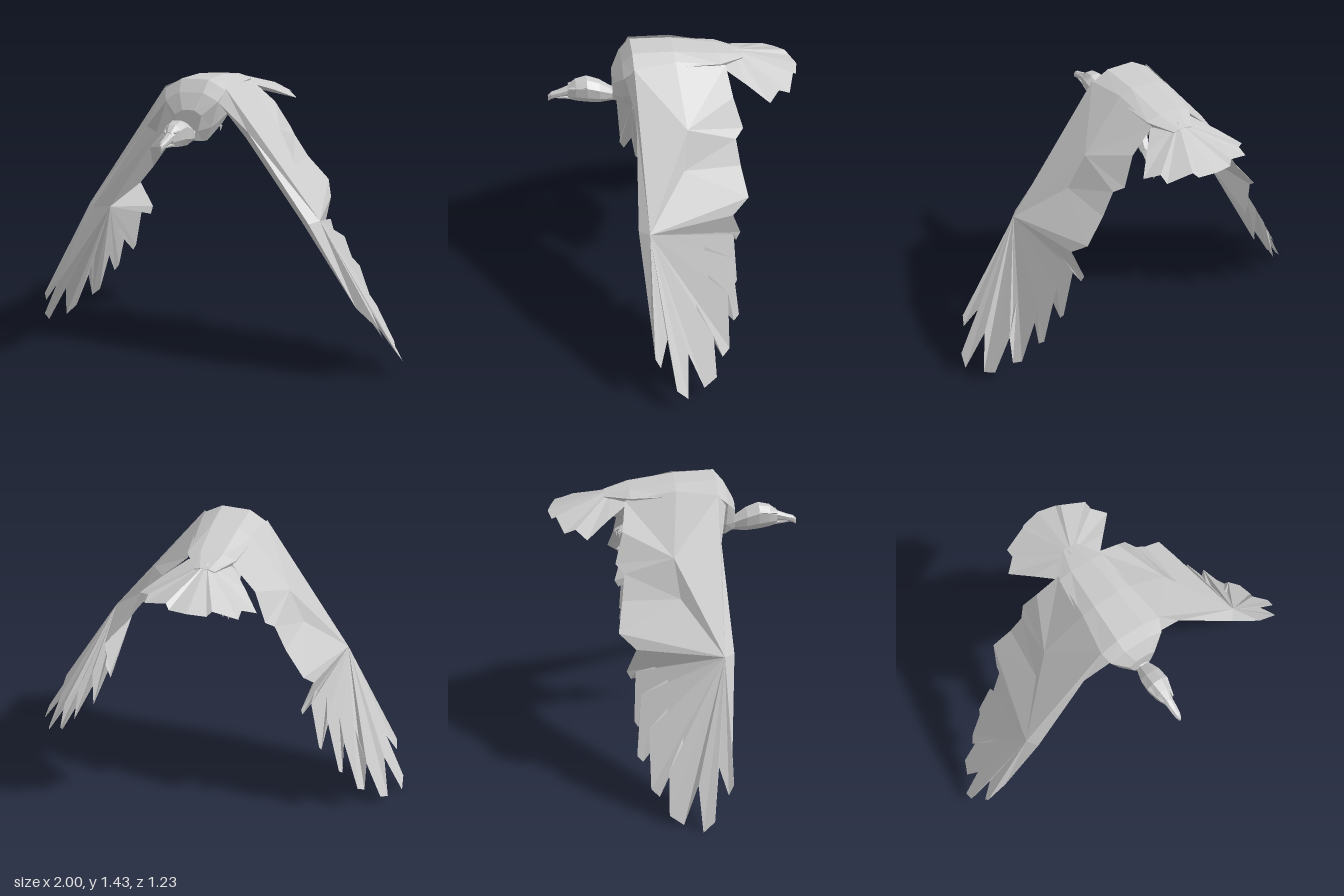
import * as THREE from 'three';

const V = (p) => new THREE.Vector3(...p);
const solid = new THREE.MeshStandardMaterial({ color: 0xcccccc, flatShading: true });
const thin = new THREE.MeshStandardMaterial({ color: 0xcccccc, flatShading: true, side: THREE.DoubleSide });

// Faceted mesh from a list of triangles; side = -1 mirrors it across x
function facets(name, tris, side = 1, material = thin) {
  const pos = [];
  for (const t of tris) {
    for (const p of side < 0 ? [t[0], t[2], t[1]] : t) pos.push(p[0] * side, p[1], p[2]);
  }
  const g = new THREE.BufferGeometry();
  g.setAttribute('position', new THREE.Float32BufferAttribute(pos, 3));
  g.computeVertexNormals();
  const m = new THREE.Mesh(g, material);
  m.name = name;
  return m;
}

// Triangles from a hub to every edge of an open outline
const fan = (hub, line) => line.slice(1).map((p, i) => [hub, line[i], p]);
const flip = (tris) => tris.map(([a, b, c]) => [a, c, b]);

// Closed loft along z; each section is [z, half width, top, bottom]
const mirrored = (half) => [...half, ...half.map(([x, y]) => [-x, y]).reverse()];
const ROUND = mirrored([[0.4, 0], [0.9, 0.3], [1, 0.75], [0.42, 1]]);
const WEDGE = mirrored([[0.34, 0], [0.7, 0.3], [1, 0.83], [0.45, 1]]);
function loft(name, sections, profile = ROUND) {
  const rings = sections.map(([z, w, top, bot]) => profile.map(([x, y]) => [x * w, bot + y * (top - bot), z]));
  const tris = [];
  const n = profile.length;
  for (let i = 0; i < rings.length - 1; i++) {
    for (let j = 0; j < n; j++) {
      const k = (j + 1) % n, a = rings[i], b = rings[i + 1];
      tris.push([a[j], a[k], b[k]], [a[j], b[k], b[j]]);
    }
  }
  const first = rings[0], last = rings[rings.length - 1];
  for (let j = 1; j < n - 1; j++) {
    tris.push([first[0], first[j + 1], first[j]], [last[0], last[j], last[j + 1]]);
  }
  return facets(name, tris, 1, solid);
}

// Tapered rod between two points
function rod(name, a, b, ra, rb, sides = 5) {
  const d = V(b).sub(V(a));
  const m = new THREE.Mesh(new THREE.CylinderGeometry(rb, ra, d.length(), sides), solid);
  m.position.copy(V(a)).addScaledVector(d, 0.5);
  m.quaternion.setFromUnitVectors(new THREE.Vector3(0, 1, 0), d.normalize());
  m.name = name;
  return m;
}

function wing(side) {
  const g = new THREE.Group();
  g.name = side > 0 ? 'leftWing' : 'rightWing';
  // shared elbow rib
  const elbow = [0.625, 0.767, 0.185], lead = [0.585, 0.76, 0.235];
  const under = [0.525, 0.745, 0.16], notch = [0.54, 0.78, -0.225];

  // inner wing: leading edge, ridge, trailing edge and the feather fold
  const rootLead = [0.14, 1.33, 0.24], midLead = [0.27, 1.19, 0.205], midUnder = [0.24, 1.15, 0.16];
  const shoulder = [0.16, 1.395, 0.2], back = [0.13, 1.408, 0];
  const trail = [[0.11, 1.36, -0.245], [0.23, 1.25, -0.265], [0.297, 1.115, -0.305],
    [0.335, 1.08, -0.265], [0.4, 0.97, -0.28], [0.5, 0.85, -0.305]];
  const foldTop = [0.345, 1.158, -0.03], foldLow = [0.425, 0.98, -0.005];
  const hollow = [0.345, 1.04, 0.03];
  g.add(facets('innerWing', [
    [rootLead, midLead, shoulder], [midLead, elbow, shoulder], [midLead, lead, elbow],
    [shoulder, elbow, foldTop], [shoulder, foldTop, back], [back, foldTop, trail[0]],
    ...fan(foldTop, trail.slice(0, 4)), [foldTop, foldLow, trail[3]], [foldTop, elbow, foldLow],
    ...fan(foldLow, trail.slice(3)), [foldLow, elbow, trail[5]], [trail[5], elbow, notch],
    [rootLead, midUnder, midLead], [midLead, midUnder, lead], [lead, midUnder, under],
    ...fan(hollow, [midUnder, rootLead, ...trail, notch, under, midUnder]),
  ], side));

  // outer wing: finger feathers with blunt tips (two corners each) and the gap after each
  const fingers = [
    [[0.925, 0.25, 0.2], [0.935, 0.2, 0.175], [0.865, 0.315, 0.135]],
    [[0.992, 0.095, 0.105], [1.0, 0.043, 0.05], [0.89, 0.235, 0.037]],
    [[0.94, 0.05, -0.035], [0.91, 0.085, -0.1], [0.82, 0.27, -0.095]],
    [[0.83, 0.14, -0.14], [0.8, 0.165, -0.178], [0.705, 0.44, -0.18]],
    [[0.72, 0.27, -0.21], [0.705, 0.295, -0.237], [0.615, 0.58, -0.21]],
    [[0.605, 0.395, -0.225], [0.595, 0.42, -0.242], [0.535, 0.66, -0.23]],
    [[0.5, 0.6, -0.25], [0.495, 0.64, -0.27], notch],
  ];
  const outline = [lead, [0.81, 0.35, 0.205], ...fingers.flat()];
  g.add(facets('outerWing', [...fan(elbow, outline), ...flip(fan(under, outline))], side));
  return g;
}

function leg(side) {
  const g = new THREE.Group();
  g.name = side > 0 ? 'leftLeg' : 'rightLeg';
  const s = ([x, y, z]) => [x * side, y, z];
  const ankle = [0.105, 1.135, -0.235];
  g.add(rod('thigh', s([0.075, 1.26, -0.08]), s([0.1, 1.185, -0.18]), 0.045, 0.024, 6));
  g.add(rod('shank', s([0.1, 1.195, -0.17]), s(ankle), 0.022, 0.012));
  // three front toes and one hind toe, each ending in a curved claw
  for (const [dx, dz] of [[-0.03, -0.03], [0.005, -0.045], [0.035, -0.025], [0, 0.03]]) {
    const knuckle = [ankle[0] + dx, 1.11, ankle[2] + dz];
    g.add(rod('toe', s(ankle), s(knuckle), 0.012, 0.009, 4));
    g.add(rod('claw', s(knuckle), s([ankle[0] + dx * 0.9, 1.08, ankle[2] + dz * 0.9]), 0.009, 0.001, 4));
  }
  return g;
}

function tail() {
  // half outline from the root to the middle feather
  const half = [[0.11, 1.345, -0.23], [0.2, 1.295, -0.335], [0.285, 1.238, -0.435], [0.225, 1.268, -0.487],
    [0.225, 1.25, -0.54], [0.11, 1.29, -0.577], [0.09, 1.27, -0.597], [0.005, 1.276, -0.614]];
  const outline = [...half, ...half.map(([x, y, z]) => [-x, y, z]).reverse()];
  return facets('tail', [...fan([0, 1.38, -0.3], outline), ...flip(fan([0, 1.33, -0.28], outline))]);
}

export function createModel() {
  const bird = new THREE.Group();
  bird.name = 'bird';
  // the whole bird banks slightly about its back
  const bank = new THREE.Group();
  bank.name = 'bankedBody';
  bank.position.set(-0.045, 1.35, 0);
  bank.rotation.z = 0.035;
  const parts = new THREE.Group();
  parts.name = 'parts';
  parts.position.y = -1.35;
  bank.add(parts);
  bird.add(bank);

  parts.add(loft('body', [[-0.34, 0.05, 1.368, 1.32], [-0.22, 0.12, 1.395, 1.26], [0.0, 0.145, 1.428, 1.18],
    [0.2, 0.16, 1.435, 1.135], [0.25, 0.14, 1.378, 1.14], [0.295, 0.07, 1.3, 1.155]], WEDGE));
  parts.add(loft('neckAndHead', [[0.22, 0.055, 1.24, 1.155], [0.3, 0.034, 1.21, 1.145], [0.36, 0.052, 1.25, 1.143],
    [0.42, 0.055, 1.274, 1.15], [0.475, 0.042, 1.264, 1.158], [0.515, 0.022, 1.235, 1.168]]));
  parts.add(loft('upperBeak', [[0.5, 0.022, 1.238, 1.185], [0.56, 0.019, 1.215, 1.18],
    [0.595, 0.014, 1.205, 1.17], [0.612, 0.005, 1.19, 1.16]]));
  parts.add(loft('lowerBeak', [[0.49, 0.02, 1.185, 1.162], [0.575, 0.009, 1.182, 1.172]]));
  for (const side of [1, -1]) {
    // brow ridge above the eye
    parts.add(rod('brow', [0.043 * side, 1.245, 0.42], [0.026 * side, 1.232, 0.51], 0.013, 0.006, 4));
    parts.add(wing(side), leg(side));
  }
  parts.add(tail());
  return bird;
}
